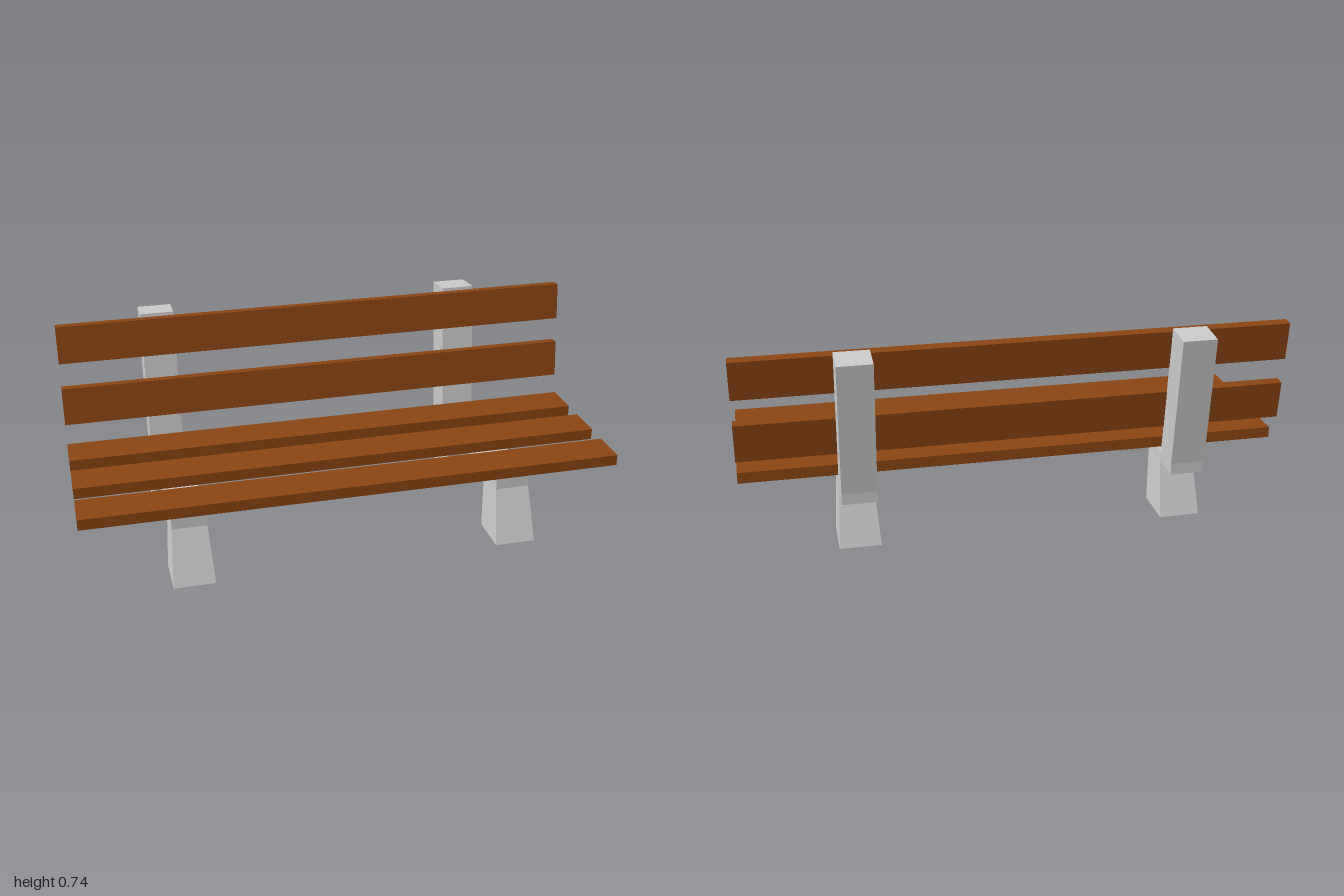
import * as THREE from 'three';

const concrete = new THREE.MeshStandardMaterial({ color: 0xcccccc, flatShading: true });
const wood = new THREE.MeshStandardMaterial({ color: 0x8b4513, flatShading: true });

const BEAM_WIDTH = 0.125, FOOT_WIDTH = 0.15, LEG_TOP = 0.2;
const SLAT_LENGTH = 1.986;

// Extrudes a [z, y] side profile along x, centred on x = 0.
function sideProfile(name, points, width, material) {
  const shape = new THREE.Shape(points.map(([z, y]) => new THREE.Vector2(z, y)));
  const geometry = new THREE.ExtrudeGeometry(shape, { depth: width, bevelEnabled: false });
  geometry.translate(0, 0, -width / 2).rotateY(-Math.PI / 2);
  const mesh = new THREE.Mesh(geometry, material);
  mesh.name = name;
  return mesh;
}

// A leg is a side profile that widens towards the ground.
function leg(name, points) {
  const mesh = sideProfile(name, points, 1, concrete);
  const position = mesh.geometry.attributes.position;
  for (let i = 0; i < position.count; i++) {
    const width = THREE.MathUtils.lerp(FOOT_WIDTH, BEAM_WIDTH, position.getY(i) / LEG_TOP);
    position.setX(i, position.getX(i) * width);
  }
  mesh.geometry.computeVertexNormals();
  return mesh;
}

function supportFrame(name, x) {
  const frame = new THREE.Group();
  frame.name = name;
  frame.position.x = x;
  frame.add(
    // Seat beam and leaning upright in one piece
    sideProfile('beamAndUpright', [
      [0.368, 0.2], [0.368, 0.242], [-0.26, 0.242], [-0.316, 0.743],
      [-0.43, 0.732], [-0.375, 0.242], [-0.375, 0.2],
    ], BEAM_WIDTH, concrete),
    leg('frontLeg', [[0.432, 0], [0.368, LEG_TOP], [0.239, LEG_TOP], [0.273, 0]]),
    leg('rearLeg', [[-0.156, 0], [-0.121, LEG_TOP], [-0.257, LEG_TOP], [-0.322, 0]]),
  );
  return frame;
}

function slat(name, height, depth, y, z, tilt = 0) {
  const mesh = new THREE.Mesh(new THREE.BoxGeometry(SLAT_LENGTH, height, depth), wood);
  mesh.name = name;
  mesh.position.set(-0.003, y, z);
  mesh.rotation.x = tilt;
  return mesh;
}

export function createModel() {
  const bench = new THREE.Group();
  bench.name = 'bench';

  bench.add(supportFrame('rightFrame', -0.616), supportFrame('leftFrame', 0.578));

  // Seat slats, front to back
  [0.299, 0.074, -0.147].forEach((z, i) =>
    bench.add(slat(`seatSlat${i + 1}`, 0.041, 0.142, 0.2625, z)));

  // Backrest slats, leaning with the uprights
  [[0.423, -0.263], [0.662, -0.289]].forEach(([y, z], i) =>
    bench.add(slat(`backSlat${i + 1}`, 0.142, 0.039, y, z, -0.11)));

  // The whole bench is turned very slightly
  bench.rotation.y = 0.0155;
  const model = new THREE.Group();
  model.name = 'parkBench';
  model.add(bench);
  return model;
}
